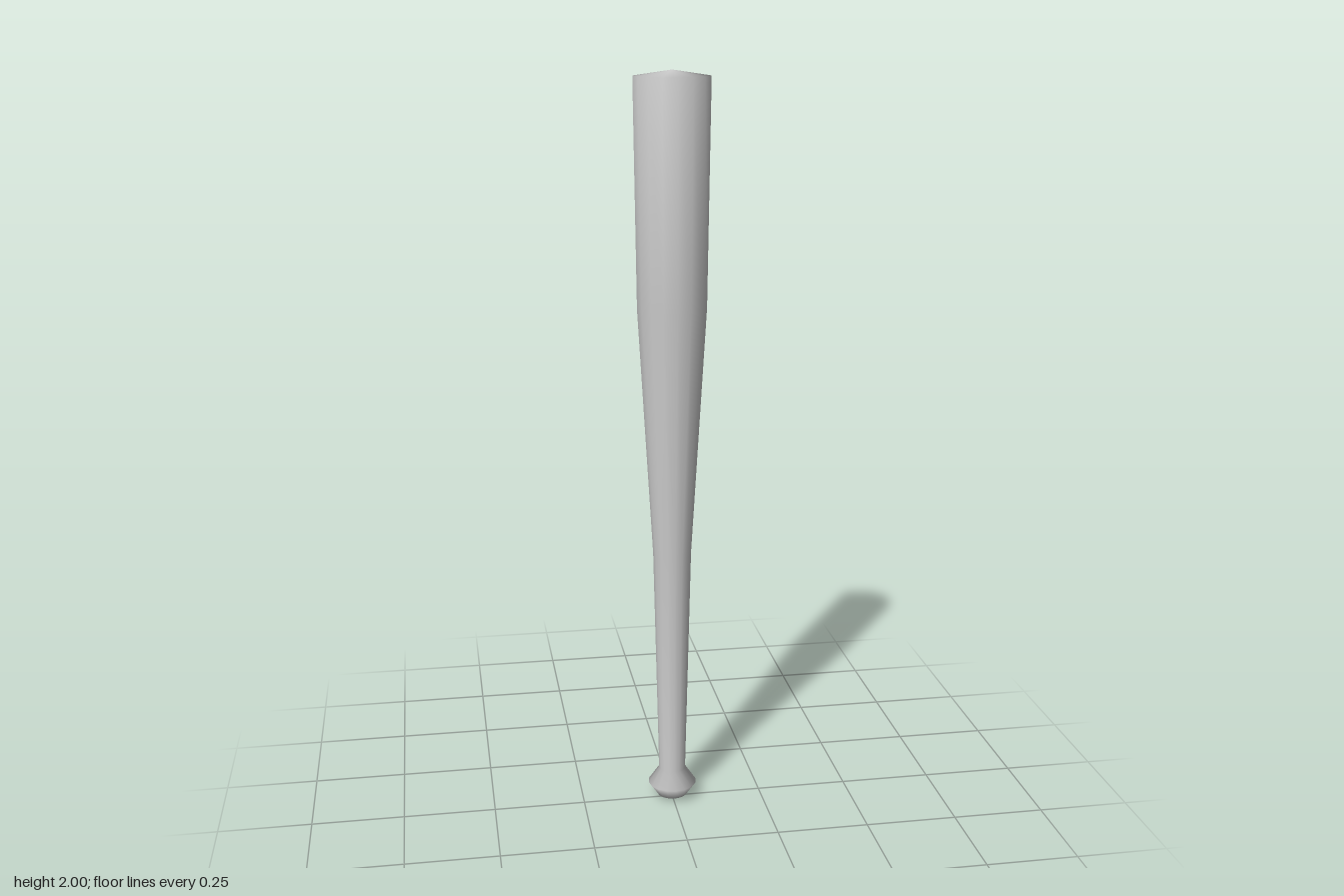
import * as THREE from 'three';

export function createModel() {
  const model = new THREE.Group();
  const material = new THREE.MeshStandardMaterial({ color: 0xcccccc });

  // Each part is a smooth 16-sided turning of a [radius, height] profile
  const turn = (name, profile) => {
    const points = profile.map(([r, y]) => new THREE.Vector2(r, y));
    const mesh = new THREE.Mesh(new THREE.LatheGeometry(points, 16), material);
    mesh.name = name;
    model.add(mesh);
  };

  // Bat: rounded knob, slim handle, flaring taper, barrel and shallow domed tip
  turn('bat', [
    [0, 0], [0.042, 0.012], [0.067, 0.048], [0.037, 0.092],
    [0.052, 0.73], [0.092, 1.4], [0.1, 1.985], [0, 2],
  ]);

  return model;
}
